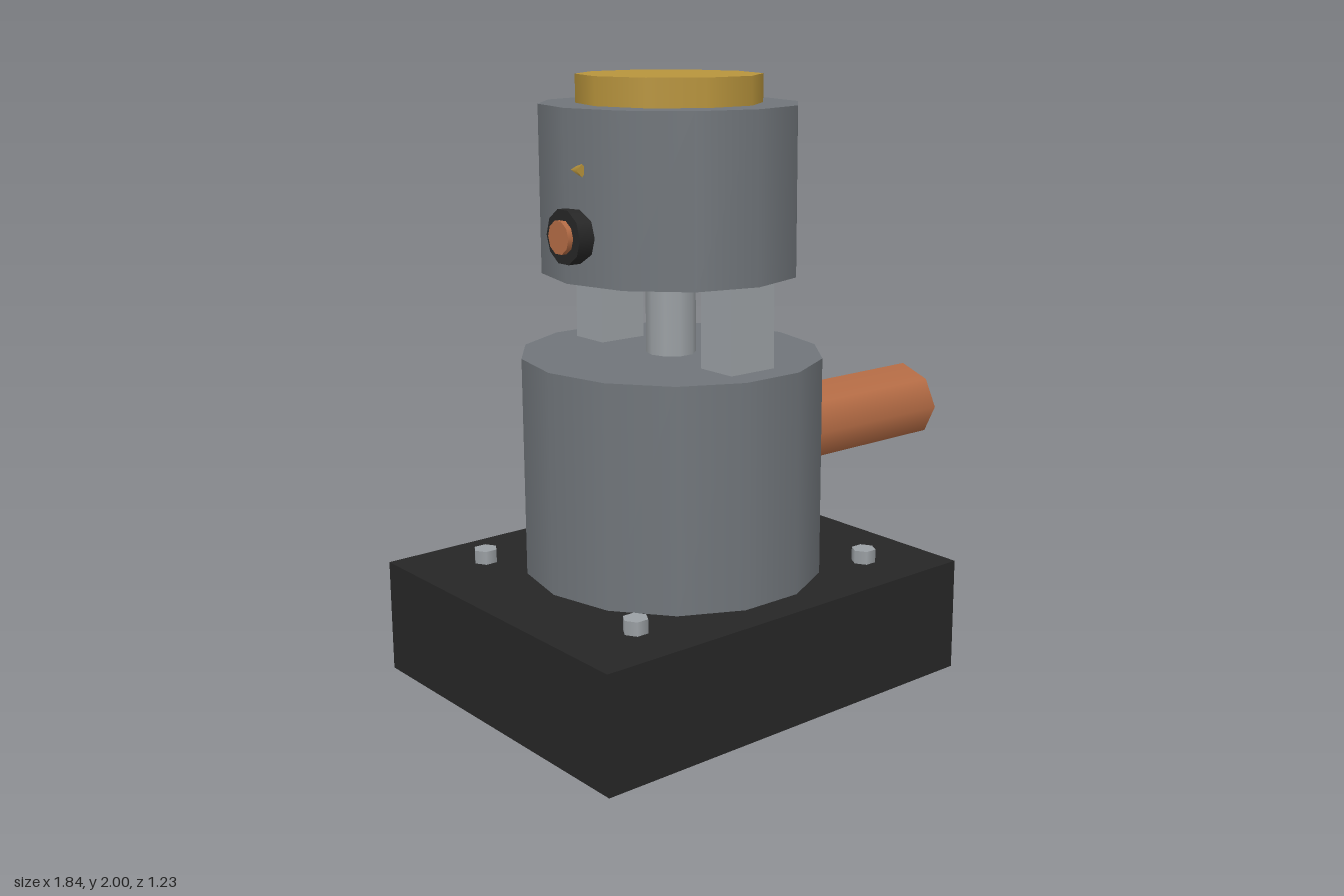
import * as THREE from 'three';

const AXIS_X = -0.19; // the housing stands off-centre, balancing the pipe
const material = (color) => new THREE.MeshStandardMaterial({ color });

export function createModel() {
  const model = new THREE.Group();
  const black = material(0x262626);
  const grey = material(0x70757a);
  const steel = material(0x9ba0a4);
  const brass = material(0xb8943c);
  const copper = material(0xb56c45);
  const white = material(0xd8d8d0);

  function add(name, geometry, mat, x, y, z, parent = model) {
    const mesh = new THREE.Mesh(geometry, mat);
    mesh.name = name;
    mesh.position.set(x, y, z);
    parent.add(mesh);
    return mesh;
  }

  // Upright faceted cylinder, slightly deeper than wide, with corners on x
  function drum(name, radius, y0, y1, sides, mat) {
    const g = new THREE.CylinderGeometry(radius, radius, y1 - y0, sides);
    g.rotateY(Math.PI / 2).scale(1, 1, 1.05);
    return add(name, g, mat, AXIS_X, (y0 + y1) / 2, 0);
  }

  // Base: box shell open at the bottom
  const shell = new THREE.BoxGeometry(1.46, 0.38, 1.225);
  const faces = Array.from(shell.index.array);
  faces.splice(18, 6);
  shell.setIndex(faces);
  shell.clearGroups();
  const baseMaterial = material(0x262626);
  baseMaterial.side = THREE.DoubleSide;
  add('base', shell, baseMaterial, AXIS_X, 0.19, 0);

  // Hex bolts at the corners of the base
  for (const sx of [-1, 1]) for (const sz of [-1, 1]) {
    const g = new THREE.CylinderGeometry(0.041, 0.041, 0.048, 6).rotateY(Math.PI / 2);
    add('bolt', g, steel, -0.18 + sx * 0.485, 0.401, sz * 0.413);
  }

  // Stacked housing
  drum('lowerHousing', 0.485, 0.38, 1.105, 14, grey);
  drum('shaft', 0.08, 1.105, 1.375, 10, steel);
  drum('upperHousing', 0.41, 1.375, 1.91, 12, grey);
  drum('cap', 0.292, 1.91, 2, 10, brass);

  // Two blocks holding the upper housing
  for (const s of [-1, 1]) {
    add('supportBlock', new THREE.BoxGeometry(0.175, 0.27, 0.145), steel, AXIS_X, 1.24, s * 0.33);
  }

  // Outlet pipe
  const pipe = new THREE.CylinderGeometry(0.1375, 0.1375, 0.67, 8);
  pipe.rotateZ(-Math.PI / 2).scale(1, 1, 1.2);
  add('outletPipe', pipe, copper, 0.585, 0.767, 0);

  // Gauge on the back, its face towards -z
  const gauge = new THREE.Group();
  gauge.name = 'gauge';
  gauge.position.set(0.05, 1.603, -0.33);
  model.add(gauge);
  const disc = (r, depth) => new THREE.CylinderGeometry(r, r, depth, 12)
    .rotateX(Math.PI / 2).scale(0.89, 1, 1);
  add('gaugeCase', disc(0.128, 0.08), brass, 0, 0, 0, gauge);
  add('gaugeDial', disc(0.112, 0.008), white, 0, 0, -0.044, gauge);
  for (let i = 0; i < 9; i++) {
    const a = (-135 + i * 33.75) * Math.PI / 180;
    const tick = add('gaugeTick', new THREE.BoxGeometry(0.007, 0.02, 0.008), black,
      Math.sin(a) * 0.083, Math.cos(a) * 0.088, -0.055, gauge);
    tick.rotation.z = -a;
  }
  const needle = add('gaugeNeedle', new THREE.BoxGeometry(0.01, 0.08, 0.008), black,
    0.025, 0.028, -0.055, gauge);
  needle.rotation.z = -Math.PI / 4;

  // Knob on the right side with a copper button and a small pointer above
  const sideDisc = (r, depth) => new THREE.CylinderGeometry(r, r, depth, 10).rotateZ(Math.PI / 2);
  add('knob', sideDisc(0.087, 0.055), black, -0.602, 1.525, 0.028);
  add('knobButton', sideDisc(0.053, 0.025), copper, -0.635, 1.525, 0.028);
  const pointer = add('pointer', new THREE.ConeGeometry(0.02, 0.07, 4), brass, -0.588, 1.727, 0.04);
  pointer.rotation.x = -Math.PI / 2;

  return model;
}
